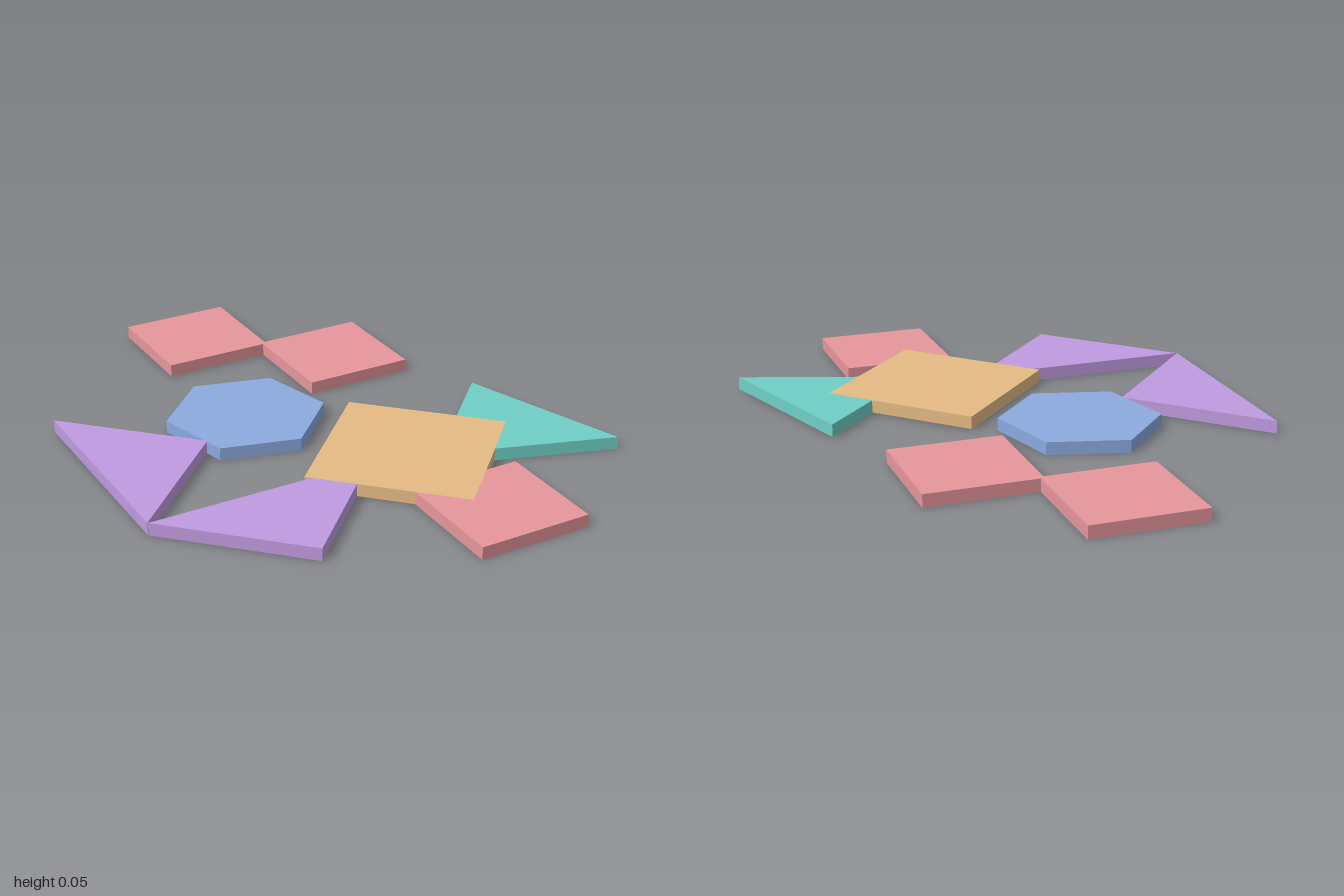
import * as THREE from 'three';

const THICK = 0.046;
const S = 0.577; // shared tile size
const R = S / 2;

const mats = {};
for (const [name, color] of Object.entries({
  red: 0xe5969b, teal: 0x6fcfc6, tan: 0xe6bb84, blue: 0x8baadf, purple: 0xc09ae0,
})) mats[name] = new THREE.MeshStandardMaterial({ color, flatShading: true });

// Flat tile from an outline of [x, z] corners, lying on the ground
function tile(name, material, outline, x, z, lift = 0) {
  const shape = new THREE.Shape(outline.map(([px, pz]) => new THREE.Vector2(px, -pz)));
  const geo = new THREE.ExtrudeGeometry(shape, { depth: THICK, bevelEnabled: false });
  geo.rotateX(-Math.PI / 2);
  const mesh = new THREE.Mesh(geo, material);
  mesh.name = name;
  mesh.position.set(x, lift, z);
  return mesh;
}

// Regular outline with its first corner pointing to the back
function regular(sides, radius) {
  return Array.from({ length: sides }, (_, i) => {
    const a = (i / sides) * Math.PI * 2;
    return [Math.sin(a) * radius, -Math.cos(a) * radius];
  });
}

export function createModel() {
  const group = new THREE.Group();
  group.name = 'shapeTiles';

  // Diamonds
  const diamond = regular(4, R);
  [[-0.711, -0.56], [-0.155, -0.56], [0.68, 0.415]].forEach(([x, z], i) =>
    group.add(tile(`diamondTile${i + 1}`, mats.red, diamond, x, z)));

  // Hexagon
  group.add(tile('hexagonTile', mats.blue, regular(6, R), -0.317, 0.02));

  // Large square, a hair higher so that its top covers the tiles it overlaps
  group.add(tile('squareTile', mats.tan, [[-R, -R], [R, -R], [R, R], [-R, R]], 0.308, 0.135, 0.0006));

  // Isosceles triangle pointing right in plan
  group.add(tile('pointedTriangleTile', mats.teal, [[-R, -R], [R, 0], [-R, R]], 0.706, -0.143));

  // Right-angled triangles
  group.add(tile('rightTriangleTile1', mats.purple, [[-R, -R], [R, -R], [R, R]], -0.666, 0.555));
  group.add(tile('rightTriangleTile2', mats.purple, [[-R, R], [R, R], [R, -R]], -0.087, 0.555));

  return group;
}
